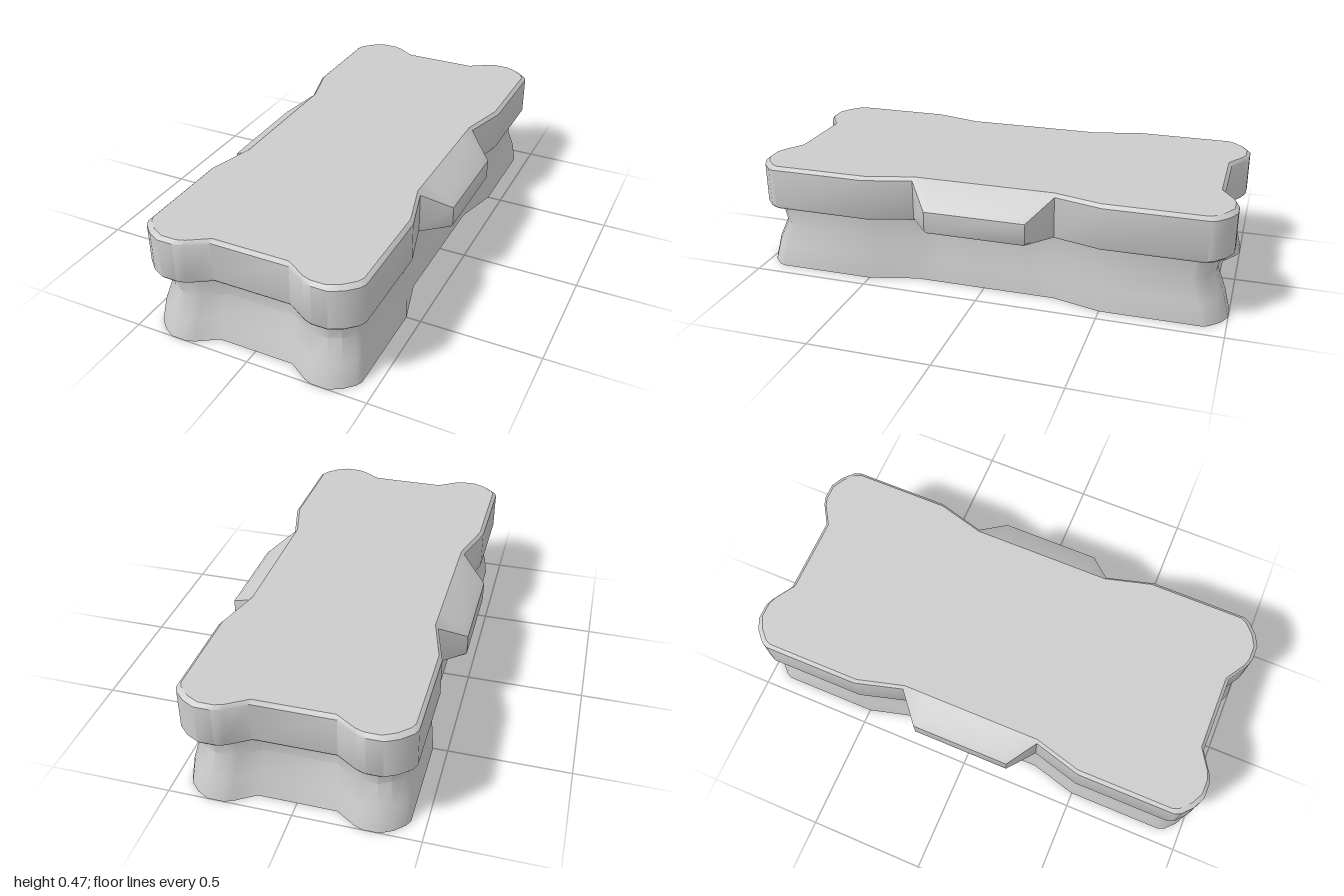
import * as THREE from 'three';
import { toCreasedNormals } from 'three/addons/utils/BufferGeometryUtils.js';

// One quarter of the plan outline, from the front notch round to the side tab: [x, z]
const QUARTER = [
  [0.165, 0.935], [0.25, 0.988], [0.285, 1.0], [0.35, 1.0], [0.4, 0.975],
  [0.443, 0.935], [0.455, 0.91], [0.455, 0.5], [0.4, 0.3], [0.51, 0.21],
];
const TAB = QUARTER.length - 1;

// A closed ring at height y; the tab corner may be moved to its own [x, y, z]
function ring(y, sx, sz, tab) {
  const quarter = QUARTER.map(([x, z], i) =>
    i === TAB ? tab : [x * sx, y, z * sz]);
  const side = [...quarter, ...quarter.map(([x, h, z]) => [x, h, -z]).reverse()];
  return [...side, ...side.map(([x, h, z]) => [-x, h, z]).reverse()];
}

// Skin between successive rings
function loft(rings) {
  const n = rings[0].length;
  const index = [];
  for (let j = 0; j < rings.length - 1; j++) {
    for (let i = 0; i < n; i++) {
      const a = j * n + i, b = j * n + (i + 1) % n;
      index.push(a, b, b + n, a, b + n, a + n);
    }
  }
  return build(rings.flat(), index);
}

// Flat fan closing a ring
function cap(points, y) {
  const n = points.length;
  const index = [];
  for (let i = 0; i < n; i++) index.push(n, i, (i + 1) % n);
  return build([...points, [0, y, 0]], index);
}

function build(points, index) {
  const geometry = new THREE.BufferGeometry();
  geometry.setAttribute('position', new THREE.Float32BufferAttribute(points.flat(), 3));
  geometry.setIndex(index);
  return toCreasedNormals(geometry, 0.68);
}

export function createModel() {
  const group = new THREE.Group();
  const material = new THREE.MeshStandardMaterial({ color: 0xcccccc, side: THREE.DoubleSide });
  const add = (name, geometry) => {
    const mesh = new THREE.Mesh(geometry, material);
    mesh.name = name;
    group.add(mesh);
  };

  // Hollow pinched skirt, open underneath: [y, x scale, z scale]
  const skirt = [
    [0, 0.965, 1.0], [0.095, 0.945, 0.975], [0.185, 0.9, 0.937], [0.278, 0.92, 0.955],
  ].map(([y, sx, sz]) => ring(y, sx, sz, [0.4 * sx, y, 0.21 * sz]));
  add('skirt', loft(skirt));

  // Upper body: underside ledge, wall, bevel and the sloping side tabs
  const rim = ring(0.467, 0.967, 0.985, [0.387, 0.467, 0.21]);
  add('body', loft([
    skirt[3],
    ring(0.278, 0.985, 0.992, [0.503, 0.278, 0.205]),
    ring(0.288, 1, 1, [0.51, 0.288, 0.21]),
    ring(0.453, 1, 1, [0.51, 0.372, 0.21]),
    ring(0.467, 0.967, 0.985, [0.488, 0.396, 0.2]),
    rim,
  ]));

  // Flat top
  add('topPlate', cap(rim, 0.467));
  return group;
}
